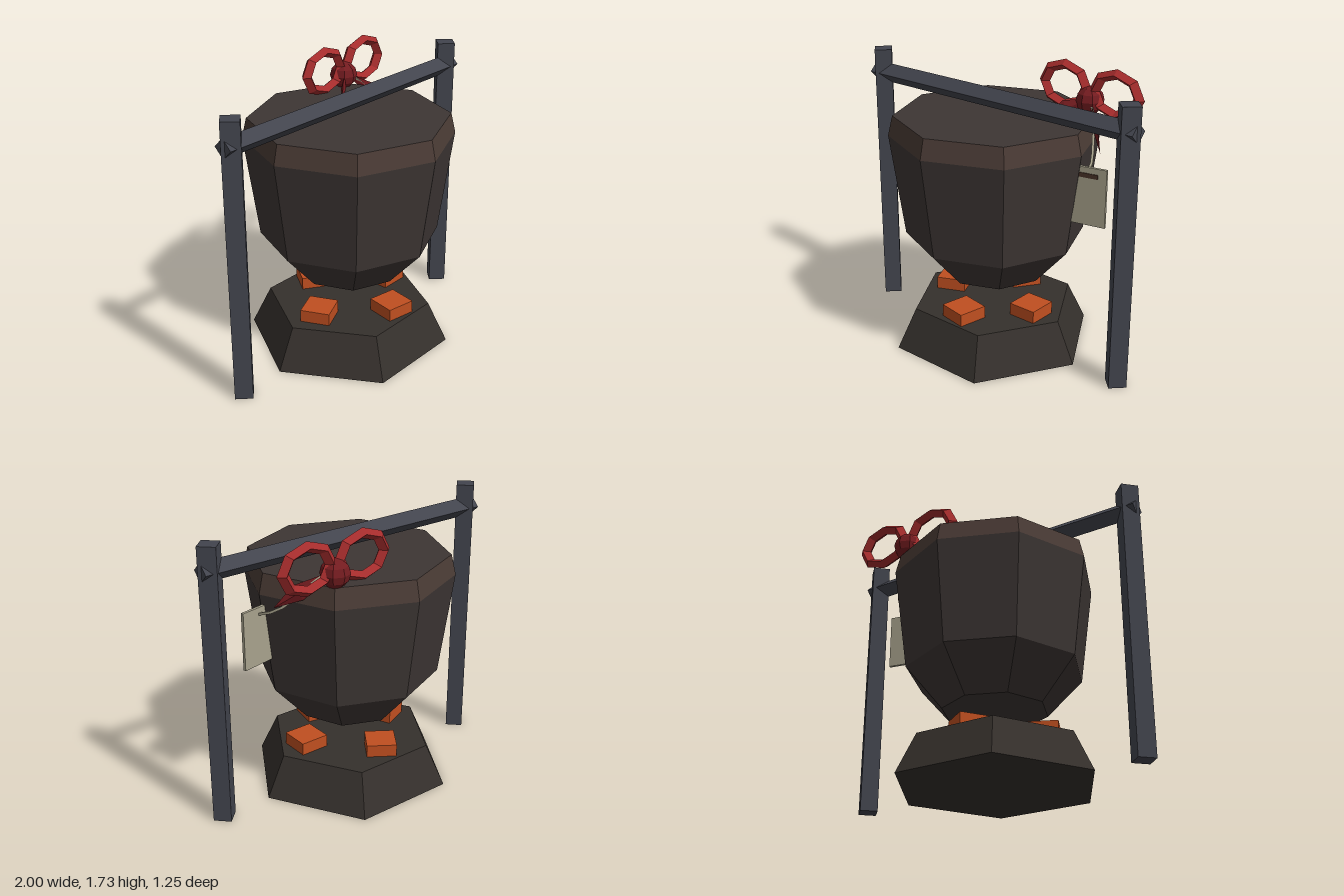
import * as THREE from 'three';

const mat = (color) => new THREE.MeshStandardMaterial({ color, flatShading: true, side: THREE.DoubleSide });
const IRON = mat(0x42444d), POT = mat(0x3d3634), RIM = mat(0x4a3b35), STONE = mat(0x35302c);
const EMBER = mat(0xc04f20), RIBBON = mat(0xa52c2c), KNOT = mat(0x741c20);
const PAPER = mat(0xa8a28c), SLOT = mat(0x4a3328);

const v = (x, y, z) => new THREE.Vector3(x, y, z);

// Flat pointed ribbon end from a to b, widest past the middle
function leaf(a, b, width, thickness) {
  const geo = new THREE.OctahedronGeometry(1);
  const p = geo.attributes.position;
  for (let i = 0; i < p.count; i++) {
    const along = p.getY(i);
    p.setXYZ(i, p.getX(i) * width / 2, Math.abs(along) < 0.01 ? 0.58 : along > 0 ? 1 : 0, p.getZ(i) * thickness / 2);
  }
  const dir = b.clone().sub(a);
  geo.scale(1, dir.length(), 1);
  const yAxis = dir.clone().normalize();
  const zAxis = v(-yAxis.z, 0, yAxis.x).normalize();
  const xAxis = yAxis.clone().cross(zAxis);
  geo.applyMatrix4(new THREE.Matrix4().makeBasis(xAxis, yAxis, zAxis).setPosition(a));
  return geo;
}

export function createModel() {
  const model = new THREE.Group();
  model.name = 'cauldronOverEmbers';

  const add = (name, geo, material, x = 0, y = 0, z = 0, parent = model) => {
    const mesh = new THREE.Mesh(geo, material);
    mesh.name = name;
    mesh.position.set(x, y, z);
    parent.add(mesh);
    return mesh;
  };
  const profile = (points) => new THREE.LatheGeometry(points.map(([r, y]) => new THREE.Vector2(r, y)), 8);

  // Posts and crossbar, diamond in section
  for (const side of [-1, 1]) {
    add(side > 0 ? 'leftPost' : 'rightPost', new THREE.CylinderGeometry(0.075, 0.075, 1.69, 4), IRON, side * 0.925, 0.845, 0);
  }
  add('crossbar', new THREE.CylinderGeometry(0.06, 0.06, 1.97, 4), IRON, 0, 1.54, 0).rotation.z = Math.PI / 2;

  // Eight-sided pot with a bevelled rim and flat top
  add('potBody', profile([[0, 0.465], [0.32, 0.465], [0.54, 0.71], [0.625, 1.33]]), POT);
  add('potRim', profile([[0.625, 1.33], [0.597, 1.45]]), RIM);
  add('potLid', profile([[0.597, 1.45], [0, 1.45]]), POT);

  // Six-sided hearth
  add('hearth', new THREE.CylinderGeometry(0.505, 0.625, 0.25, 6, 1, false, Math.PI / 2), STONE, -0.01, 0.125, 0);

  // Embers: x, z, turn in degrees
  const embers = [[0.025, 0.318, -10], [0.308, 0.025, 0], [-0.31, 0.03, 24], [-0.015, -0.295, -34]];
  for (const [x, z, turn] of embers) {
    add('ember', new THREE.BoxGeometry(0.18, 0.085, 0.18), EMBER, x, 0.283, z).rotation.y = THREE.MathUtils.degToRad(turn);
  }

  // Bow: two loops, a knot and two tails
  const bow = new THREE.Group();
  bow.name = 'bow';
  model.add(bow);
  for (const side of [-1, 1]) {
    const loop = add('bowLoop', new THREE.TorusGeometry(0.153, 0.038, 4, 8), RIBBON, 0.395 + side * 0.182, 1.582, -0.39, bow);
    loop.scale.y = 0.8;
  }
  add('bowKnot', new THREE.SphereGeometry(0.085, 8, 6), KNOT, 0.395, 1.52, -0.39, bow);
  const knot = v(0.4, 1.53, -0.38);
  add('bowTailLeft', leaf(knot, v(0.64, 1.305, -0.16), 0.1, 0.03), KNOT, 0, 0, 0, bow);
  add('bowTailRight', leaf(knot, v(0.21, 1.43, -0.24), 0.1, 0.03), KNOT, 0, 0, 0, bow);

  // String from the knot down to the tag
  const path = new THREE.CatmullRomCurve3([
    v(0.42, 1.52, -0.36), v(0.5, 1.44, -0.29), v(0.56, 1.33, -0.2), v(0.61, 1.27, -0.13), v(0.65, 1.23, -0.03),
  ]);
  add('tagString', new THREE.TubeGeometry(path, 6, 0.01, 4), PAPER);

  // Hanging tag with a dark slot
  const tag = new THREE.Group();
  tag.name = 'tag';
  tag.position.set(0.66, 1.0975, -0.025);
  tag.rotation.y = 0.2;
  model.add(tag);
  add('tagCard', new THREE.BoxGeometry(0.224, 0.345, 0.018), PAPER, 0, 0, 0, tag);
  add('tagSlot', new THREE.BoxGeometry(0.12, 0.026, 0.008), SLOT, 0, 0.125, 0.01, tag);

  return model;
}
